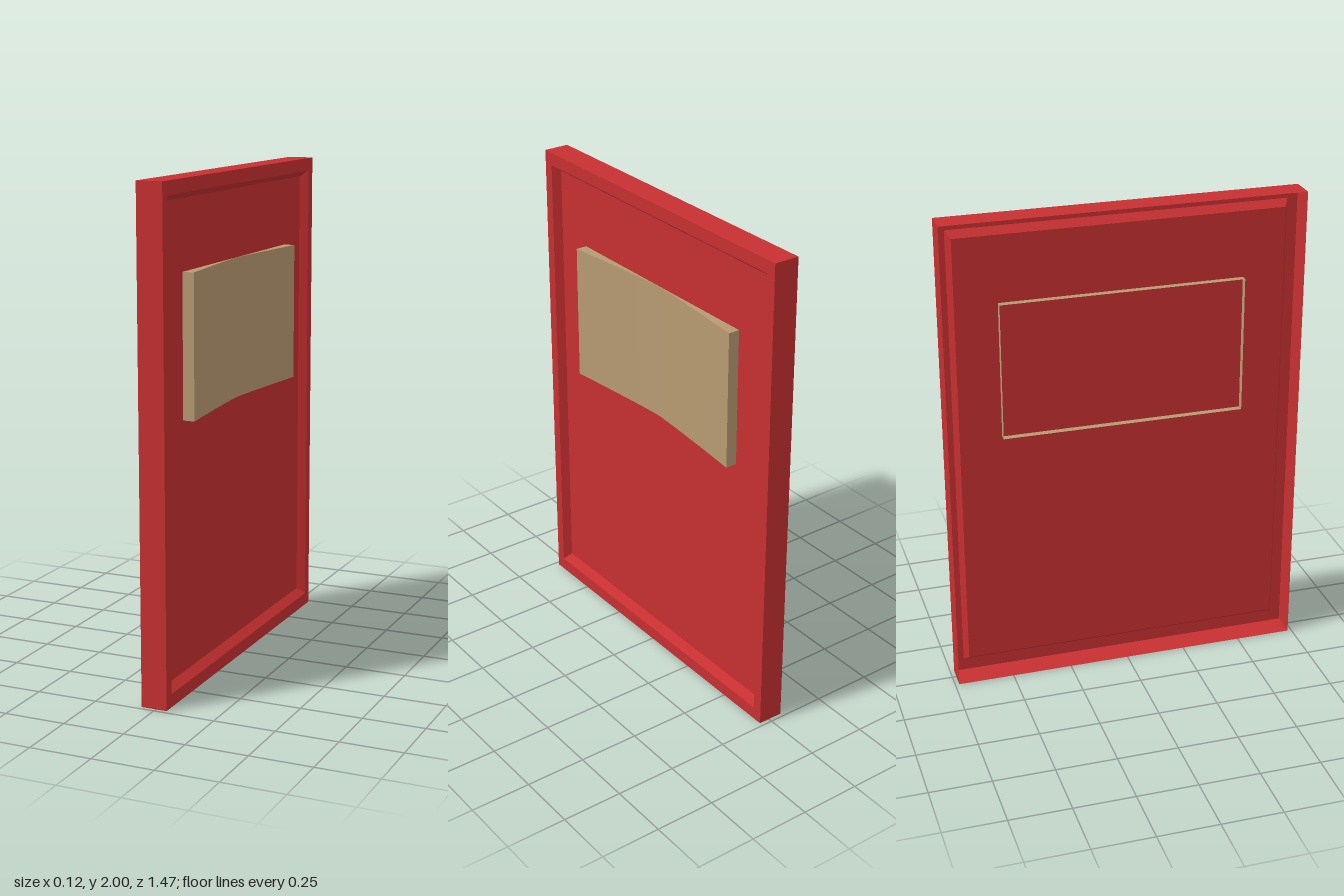
import * as THREE from 'three';

// Flat-shaded geometry from a list of four-cornered faces
function quadGeometry(quads) {
  const pos = [];
  for (const [a, b, c, d] of quads) pos.push(...a, ...b, ...c, ...a, ...c, ...d);
  const g = new THREE.BufferGeometry();
  g.setAttribute('position', new THREE.Float32BufferAttribute(pos, 3));
  g.computeVertexNormals();
  return g;
}

// Walls joining two closed loops of equal length
function loft(a, b) {
  return a.map((p, i) => {
    const j = (i + 1) % a.length;
    return [p, a[j], b[j], b[i]];
  });
}

// Upright rectangle at depth x, anticlockwise as seen from +x
const rect = (x, h, y0, y1) => [[x, y0, h], [x, y0, -h], [x, y1, -h], [x, y1, h]];

export function createModel() {
  const red = new THREE.MeshStandardMaterial({ color: 0xc62f31, side: THREE.DoubleSide });
  red.name = 'red';
  const tan = new THREE.MeshStandardMaterial({ color: 0xb79a72, side: THREE.DoubleSide });
  tan.name = 'tan';

  const model = new THREE.Group();
  const add = (name, quads, material) => {
    const mesh = new THREE.Mesh(quadGeometry(quads), material);
    mesh.name = name;
    model.add(mesh);
  };

  // Open-backed frame: outer wall, front rim, sloping inner wall
  const back = rect(-0.06, 0.733, 0, 2);
  const front = rect(0.046, 0.733, 0, 2);
  const rim = rect(0.046, 0.69, 0.053, 1.947);
  const inner = rect(0.012, 0.672, 0.078, 1.922);
  add('frame', [...loft(back, front), ...loft(front, rim), ...loft(rim, inner)], red);

  // Recessed panel
  add('panel', [inner], red);

  // Plaque with a dipped front; its side walls pass through the panel
  const N = 16, y0 = 1.08, y1 = 1.647, half = 0.5;
  const dip = (z) => 0.014 + 0.045 * Math.pow(Math.abs(z) / half, 1.2);
  const zs = Array.from({ length: N + 1 }, (_, i) => half - (2 * half * i) / N);
  const bottom = zs.map((z) => [dip(z), y0, z]);
  const top = zs.map((z) => [dip(z), y1, z]);
  const edge = [...bottom, ...top.slice().reverse()];
  const edgeBack = edge.map(([, y, z]) => [-0.016, y, z]);
  add('plaqueSides', loft(edgeBack, edge), tan);

  const face = [];
  for (let i = 0; i < N; i++) face.push([bottom[i], bottom[i + 1], top[i + 1], top[i]]);
  add('plaqueFace', face, tan);

  return model;
}
